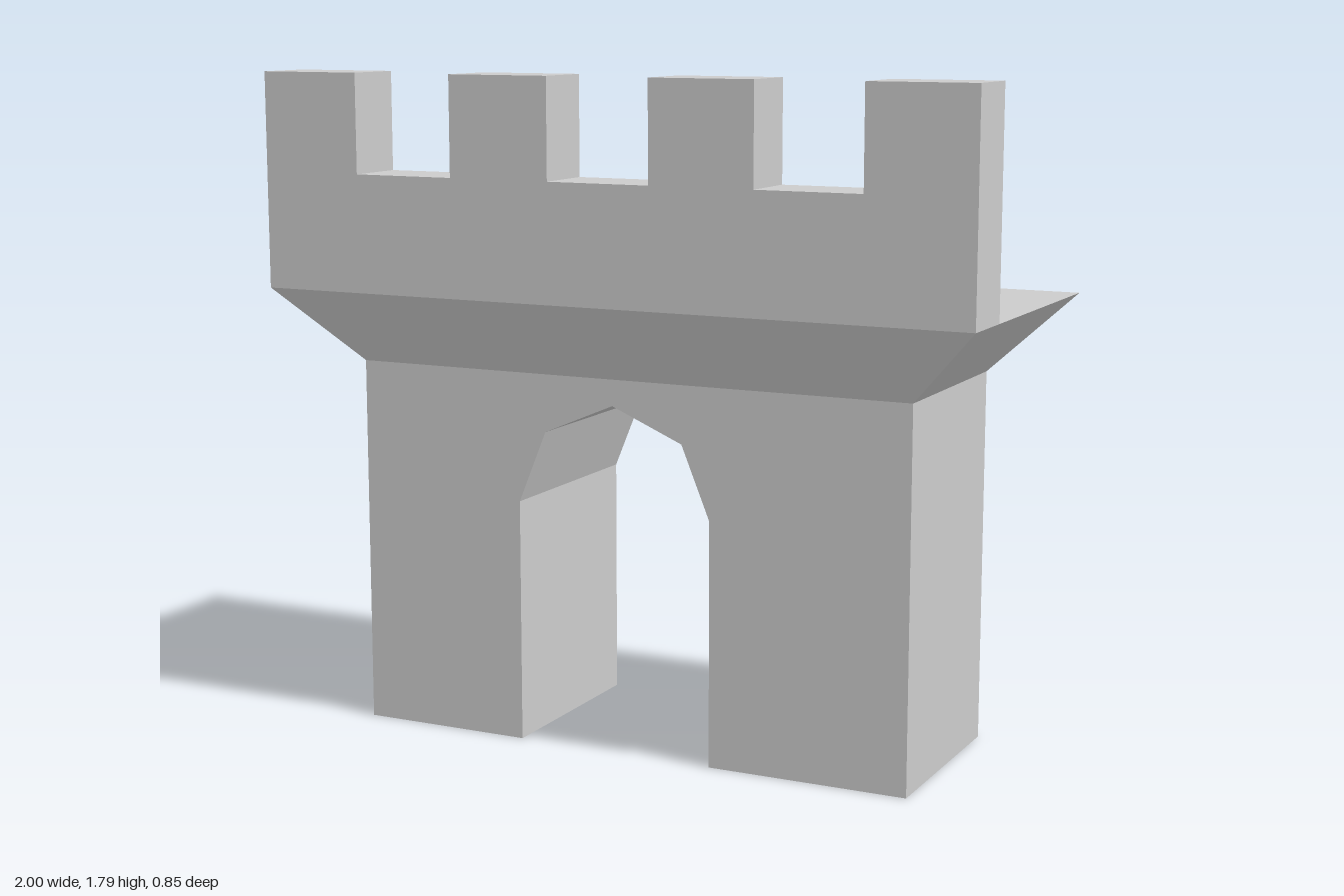
import * as THREE from 'three';

const material = new THREE.MeshStandardMaterial({ color: 0xcccccc, flatShading: true, side: THREE.DoubleSide });

// Flat quads between two rows of [x, y, z] points
function strip(a, b) {
  const pos = [];
  for (let i = 0; i < a.length - 1; i++) {
    pos.push(...a[i], ...a[i + 1], ...b[i + 1], ...a[i], ...b[i + 1], ...b[i]);
  }
  const g = new THREE.BufferGeometry();
  g.setAttribute('position', new THREE.Float32BufferAttribute(pos, 3));
  g.computeVertexNormals();
  return g;
}

// Closed rectangle at height y
const ring = (x, y, z) => [[x, y, z], [x, y, -z], [-x, y, -z], [-x, y, z], [x, y, z]];

const toShape = (points) => new THREE.Shape(points.map(([x, y]) => new THREE.Vector2(x, y)));

export function createModel() {
  const model = new THREE.Group();
  const add = (parent, name, geometry) => {
    const mesh = new THREE.Mesh(geometry, material);
    mesh.name = name;
    parent.add(mesh);
    return mesh;
  };

  const halfW = 0.795, halfD = 0.28, bodyTop = 1.01;
  const deckW = 1, deckD = 0.425, deckY = 1.215;
  const parapetBack = 0.25, notchY = 1.53, topY = 1.795;

  // Gate body: hollow shell, open underneath
  const body = new THREE.Group();
  body.name = 'gateBody';
  model.add(body);
  const arch = [
    [0.245, 0], [0.245, 0.66], [0.165, 0.855], [-0.035, 0.94],
    [-0.235, 0.855], [-0.315, 0.66], [-0.315, 0],
  ];
  const face = new THREE.ShapeGeometry(toShape([
    ...arch, [-halfW, 0], [-halfW, bodyTop], [halfW, bodyTop], [halfW, 0],
  ]));
  add(body, 'frontWall', face).position.z = halfD;
  add(body, 'backWall', face).position.z = -halfD;
  const sweep = (path) => strip(path.map(([x, y]) => [x, y, halfD]), path.map(([x, y]) => [x, y, -halfD]));
  add(body, 'archLining', sweep(arch));
  add(body, 'leftWall', sweep([[halfW, bodyTop], [halfW, 0]]));
  add(body, 'rightWall', sweep([[-halfW, 0], [-halfW, bodyTop]]));

  // Flared cornice and the walkway on top of it
  add(model, 'cornice', strip(ring(halfW, bodyTop, halfD), ring(deckW, deckY, deckD)));
  add(model, 'walkway', strip(
    [[-deckW, deckY, parapetBack], [deckW, deckY, parapetBack]],
    [[-deckW, deckY, -deckD], [deckW, deckY, -deckD]],
  ));

  // Parapet: seven equal steps, merlons and gaps alternating
  const outline = [[-deckW, deckY], [deckW, deckY]];
  const step = (2 * deckW) / 7;
  for (let i = 0; i < 7; i++) {
    const y = i % 2 ? notchY : topY;
    outline.push([deckW - i * step, y], [deckW - (i + 1) * step, y]);
  }
  const parapet = new THREE.ExtrudeGeometry(toShape(outline), { depth: deckD - parapetBack, bevelEnabled: false });
  add(model, 'battlements', parapet).position.z = parapetBack;

  return model;
}
